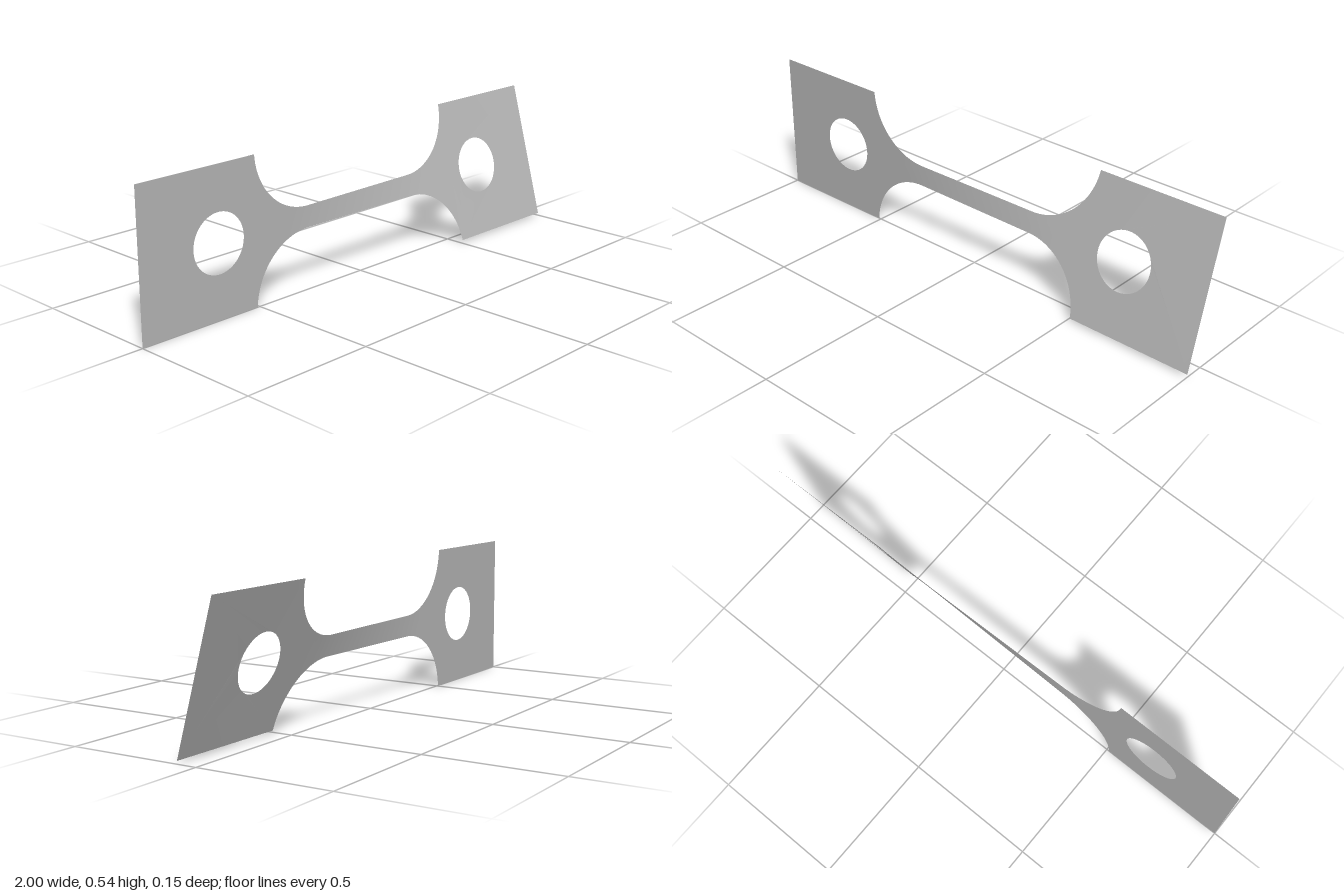
import * as THREE from 'three';

const HALF = 0.271;        // half height of the end plates
const NECK = 0.04;         // half height of the narrow strip
const EDGE = 0.51;         // where plates meet the fillets
const TANGENT = 0.265;     // where fillets meet the strip
const R = EDGE - TANGENT;  // fillet radius

// Twist about the long axis: most of it happens in the narrow strip.
function twistAngle(x) {
  const t = THREE.MathUtils.clamp((x + 0.36) / 0.72, 0, 1);
  const end = Math.max(0, x - 0.36) * 1.8;
  return -THREE.MathUtils.degToRad(14.6 * t + end);
}

function twist(geometry) {
  const p = geometry.attributes.position;
  for (let i = 0; i < p.count; i++) {
    const x = p.getX(i), y = p.getY(i), a = twistAngle(x);
    p.setXYZ(i, x, y * Math.cos(a), y * Math.sin(a));
  }
  geometry.computeVertexNormals();
  return geometry;
}

// Half height of the middle section, with circular fillets at both ends.
function halfHeight(x) {
  const d = Math.min(Math.max(0, Math.abs(x) - TANGENT), R);
  return Math.abs(x) >= EDGE - 1e-6 ? HALF : NECK + R - Math.sqrt(R * R - d * d);
}

export function createModel() {
  const group = new THREE.Group();
  const metal = new THREE.MeshStandardMaterial({ color: 0xb8b8b8, side: THREE.DoubleSide });
  metal.name = 'grey metal';

  const add = (name, geometry) => {
    const mesh = new THREE.Mesh(twist(geometry), metal);
    mesh.name = name;
    mesh.position.y = HALF;
    group.add(mesh);
  };

  // End plates, each with a round hole
  for (const [name, side] of [['leftGripPlate', 1], ['rightGripPlate', -1]]) {
    const x0 = side > 0 ? EDGE : -1, x1 = side > 0 ? 1 : -EDGE;
    const shape = new THREE.Shape();
    shape.moveTo(x0, -HALF).lineTo(x1, -HALF).lineTo(x1, HALF).lineTo(x0, HALF).closePath();
    const hole = new THREE.Path();
    hole.absarc(side * 0.672, 0, 0.108, 0, Math.PI * 2, true);
    shape.holes.push(hole);
    add(name, new THREE.ShapeGeometry(shape, 48));
  }

  // Narrow strip flaring into the plates; columns spaced closer along the fillets
  const xs = [];
  const N = 24;
  for (let i = 0; i <= N; i++) xs.push(-TANGENT - R * Math.cos((i / N) * Math.PI / 2));
  for (let i = 1; i < N; i++) xs.push(-TANGENT + (2 * TANGENT * i) / N);
  for (let i = N; i >= 0; i--) xs.push(TANGENT + R * Math.cos((i / N) * Math.PI / 2));
  const rows = 4;
  const strip = new THREE.PlaneGeometry(1, 2, xs.length - 1, rows);
  const p = strip.attributes.position;
  for (let i = 0; i < p.count; i++) {
    const x = xs[i % xs.length];
    p.setXY(i, x, p.getY(i) * halfHeight(x));
  }
  add('twistedNeck', strip);

  return group;
}
